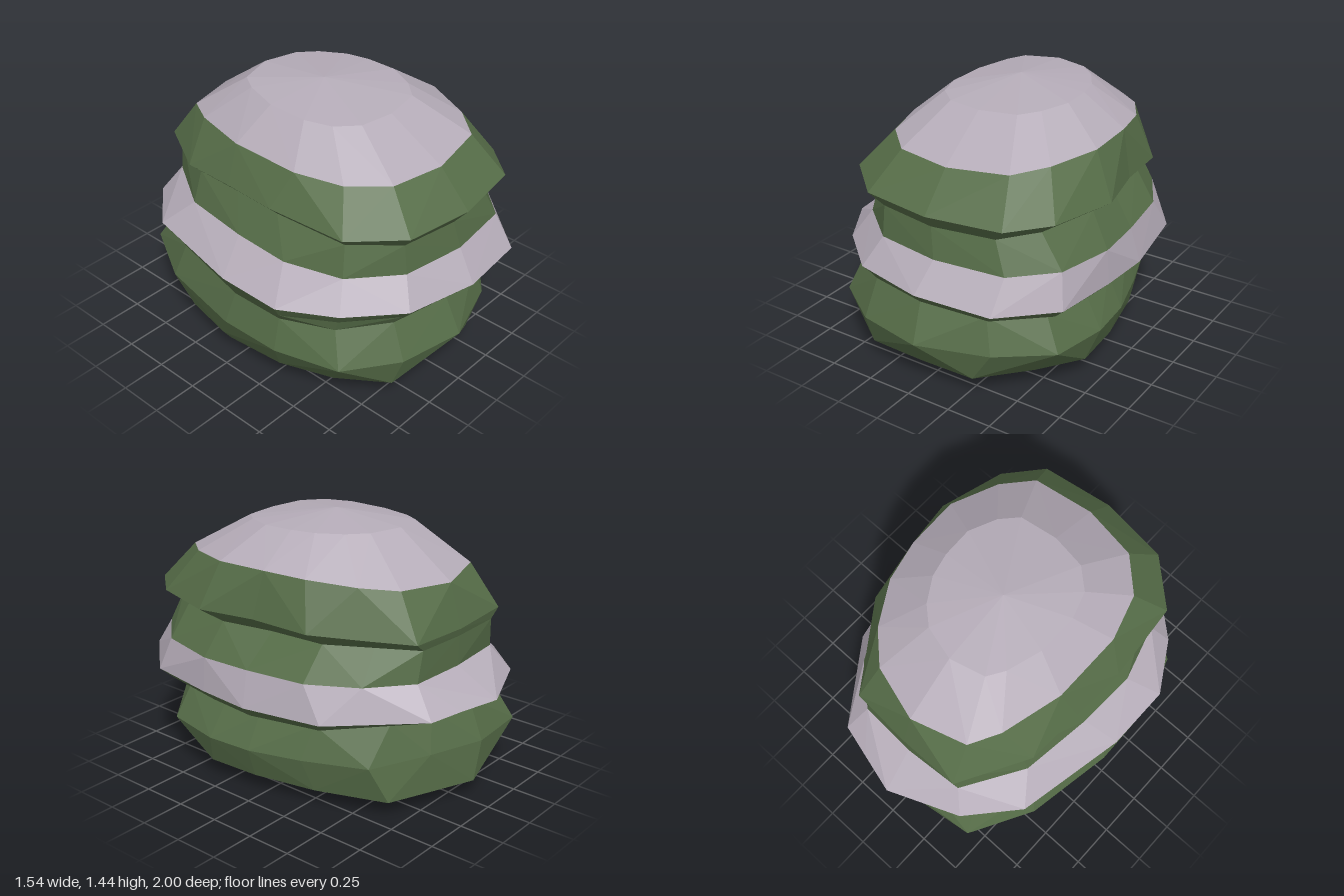
import * as THREE from 'three';

// Unit outlines (x, z), running back -> right -> front -> left
const footOutline = [[-.07, -1], [.31, -.88], [.65, -.77], [.86, -.33], [.97, .08], [1, .43], [.76, .7], [.43, .99],
  [-.05, 1], [-.53, .99], [-.8, .7], [-.96, .37], [-1, -.1], [-.91, -.45], [-.71, -.75]];
const slabOutline = [[-.12, -1], [.29, -.88], [.7, -.7], [.86, -.32], [.97, 0], [1, .28], [.92, .63], [.56, .86],
  [.04, 1], [-.47, .92], [-.85, .71], [-.99, .33], [-1, -.05], [-.88, -.59], [-.62, -.96]];
const ledgeOutline = [[-.04, -1], [.25, -.94], [.49, -.89], [.91, -.45], [1, 0], [.98, .3], [.93, .68], [.62, .95],
  [.08, 1], [-.44, .91], [-.78, .68], [-1, .4], [-1, .03], [-.84, -.58], [-.54, -.84]];
const neckOutline = [[-.1, -1], [.38, -.98], [.69, -.76], [.9, -.45], [.97, -.04], [1, .3], [.9, .69], [.61, .94],
  [.04, 1], [-.5, .93], [-.86, .68], [-1, .3], [-.98, -.1], [-.9, -.58], [-.6, -.97]];
const upperOutline = [[-.12, -1], [.39, -.98], [.61, -.73], [.85, -.46], [.9, -.08], [1, .28], [.85, .7], [.6, .93],
  [0, 1], [-.58, .94], [-.94, .68], [-1, .16], [-.98, -.2], [-.95, -.57], [-.63, -1]];
const capOutline = [[-.14, -1], [.39, -.88], [.66, -.68], [.89, -.37], [.98, -.06], [1, .34], [.82, .7], [.59, .92],
  [0, 1], [-.55, .93], [-.86, .7], [-1, .35], [-1, -.2], [-.84, -.66], [-.68, -.88]];

const blend = (a, b, t) => a.map(([x, z], i) =>
  [THREE.MathUtils.lerp(x, b[i][0], t), THREE.MathUtils.lerp(z, b[i][1], t)]);

// A ring fitted to its extents; its height differs at front, right (+x), back and left (-x)
function ring(outline, [x0, x1, z0, z1], [front, right, back, left]) {
  return outline.map(([u, w]) => {
    const sideY = u > 0 ? right : left, endY = w > 0 ? front : back;
    const y = (sideY * u * u + endY * w * w) / (u * u + w * w);
    return new THREE.Vector3((x0 + x1) / 2 + u * (x1 - x0) / 2, y, (z0 + z1) / 2 + w * (z1 - z0) / 2);
  });
}
const pole = (x, y, z) => footOutline.map(() => new THREE.Vector3(x, y, z));

// Faceted skin between successive rings
function band(name, rings, material) {
  const positions = [];
  const plane = new THREE.Plane();
  const triangle = (a, b, c) => {
    if (a.equals(b) || b.equals(c) || a.equals(c)) return;
    positions.push(...a.toArray(), ...b.toArray(), ...c.toArray());
  };
  for (let r = 0; r < rings.length - 1; r++) {
    const lo = rings[r], hi = rings[r + 1];
    for (let j = 0; j < lo.length; j++) {
      const k = (j + 1) % lo.length;
      // Split each quad along the diagonal that bulges outward
      plane.setFromCoplanarPoints(lo[k], lo[j], hi[k]);
      if (plane.distanceToPoint(hi[j]) > 0) {
        triangle(lo[k], lo[j], hi[j]);
        triangle(lo[k], hi[j], hi[k]);
      } else {
        triangle(lo[k], lo[j], hi[k]);
        triangle(lo[j], hi[j], hi[k]);
      }
    }
  }
  const geometry = new THREE.BufferGeometry();
  geometry.setAttribute('position', new THREE.Float32BufferAttribute(positions, 3));
  geometry.computeVertexNormals();
  const mesh = new THREE.Mesh(geometry, material);
  mesh.name = name;
  return mesh;
}

export function createModel() {
  const moss = new THREE.MeshStandardMaterial({ color: 0x566d48, flatShading: true });
  moss.name = 'mossGreen';
  const stone = new THREE.MeshStandardMaterial({ color: 0xb5acb8, flatShading: true });
  stone.name = 'paleStone';

  const creaseOutline = blend(slabOutline, ledgeOutline, .5);

  const bottom = pole(0, 0, .36);
  const base = ring(footOutline, [-.62, .6, -.69, .62], [.065, .08, .02, .04]);
  const foot = ring(footOutline, [-.67, .66, -.87, .84], [.1, .09, .09, .11]);
  const lowerBulge = ring(slabOutline, [-.74, .72, -.88, .97], [.28, .26, .31, .28]);
  const lowerCrease = ring(creaseOutline, [-.69, .62, -.8, .88], [.485, .435, .53, .46]);
  const underLip = ring(ledgeOutline, [-.73, .7, -.9, .94], [.54, .47, .565, .53]);
  const middleLip = ring(ledgeOutline, [-.77, .77, -1, 1], [.595, .54, .6, .6]);
  const ledgeTop = ring(neckOutline, [-.6, .74, -.78, .88], [.75, .73, .74, .75]);
  const upperCrease = ring(upperOutline, [-.5, .63, -.78, .85], [.91, .91, .9, .93]);
  const upperLip = ring(upperOutline, [-.59, .755, -.79, .92], [.995, 1, .94, 1.02]);
  const capRim = ring(capOutline, [-.48, .64, -.72, .74], [1.185, 1.245, 1.17, 1.21]);
  const capShoulder = ring(capOutline, [-.29, .41, -.41, .43], [1.375, 1.4, 1.4, 1.38]);
  const summit = pole(.03, 1.44, 0);

  const rock = new THREE.Group();
  rock.name = 'layeredRock';
  rock.add(
    band('lowerSlab', [bottom, base, foot, lowerBulge, lowerCrease, underLip, middleLip], moss),
    band('middleLedge', [middleLip, ledgeTop], stone),
    band('upperSlab', [ledgeTop, upperCrease, upperLip, capRim], moss),
    band('topCap', [capRim, capShoulder, summit], stone),
  );
  return rock;
}
